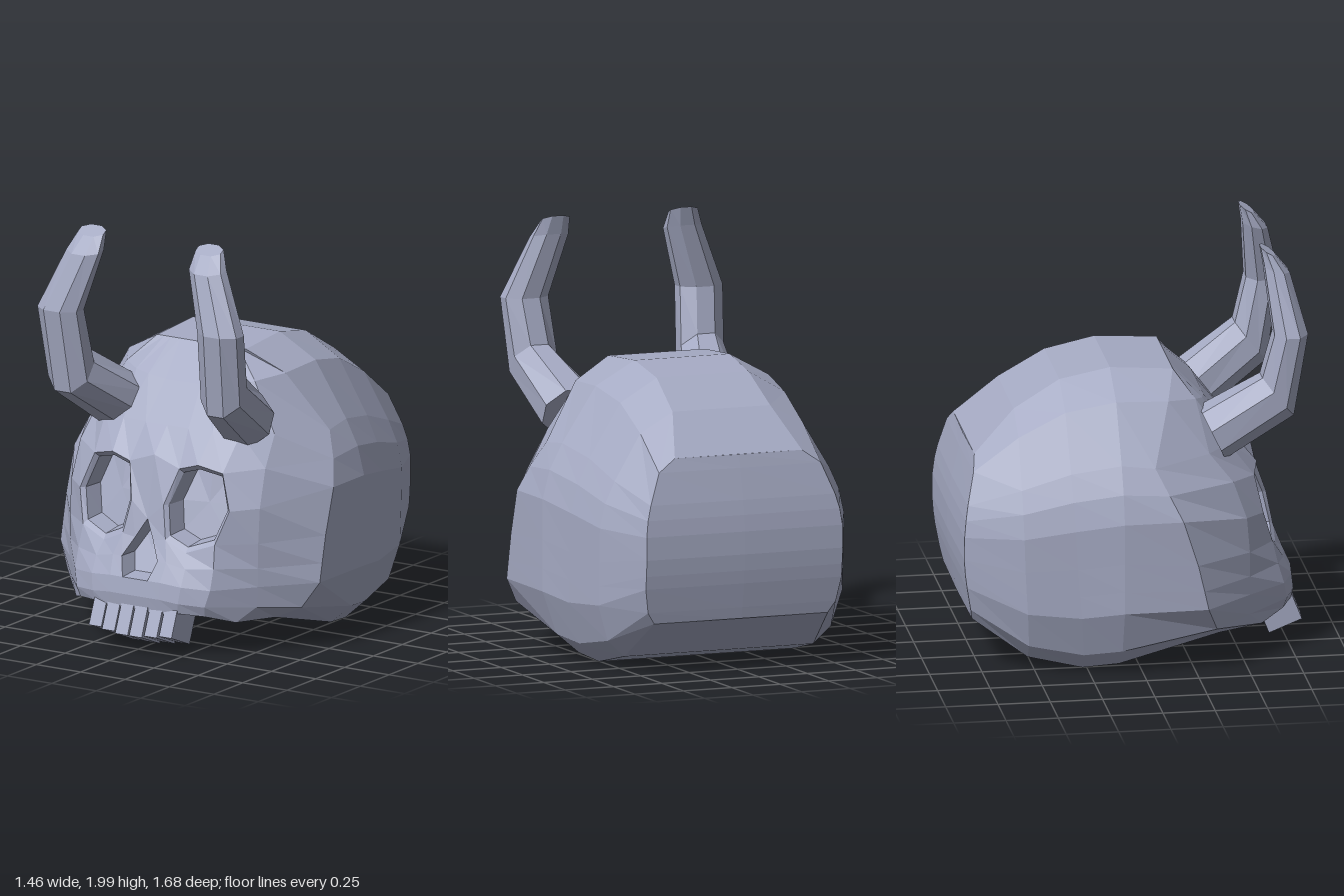
import * as THREE from 'three';

const bone = new THREE.MeshStandardMaterial({ color: 0xa5aac3, side: THREE.DoubleSide });
bone.name = 'greyBone';

// Collects faces as separate triangles, so every facet stays flat
class Facets {
  constructor() { this.p = []; }
  quad(a, b, c, d) { this.p.push(...a, ...b, ...c, ...a, ...c, ...d); }
  // Same quad on both halves of the body
  pair(a, b, c, d) {
    this.quad(a, b, c, d);
    this.quad(flip(d), flip(c), flip(b), flip(a));
  }
  // Joins a list of closed rings, then closes the last one with a fan
  rings(list) {
    for (let i = 0; i + 1 < list.length; i++) this.band(list[i], list[i + 1]);
    this.cap(list[list.length - 1]);
  }
  band(r, s) {
    const n = r.length;
    for (let j = 0; j < n; j++) this.quad(r[j], r[(j + 1) % n], s[(j + 1) % n], s[j]);
  }
  cap(r) {
    const m = centre(r), n = r.length;
    for (let j = 0; j < n; j++) this.p.push(...r[j], ...r[(j + 1) % n], ...m);
  }
  mesh(name) {
    const g = new THREE.BufferGeometry();
    g.setAttribute('position', new THREE.Float32BufferAttribute(this.p, 3));
    g.computeVertexNormals();
    const m = new THREE.Mesh(g, bone);
    m.name = name;
    return m;
  }
}

const flip = ([x, y, z]) => [-x, y, z];
const centre = (r) => [0, 1, 2].map((k) => r.reduce((s, v) => s + v[k], 0) / r.length);

// Ring shrunk towards its centre and pushed back
function inset(ring, scale, depth) {
  const m = centre(ring);
  return ring.map(([x, y, z]) => [m[0] + (x - m[0]) * scale, m[1] + (y - m[1]) * scale, z - depth]);
}

// Seam between face and cranium, from the crown down to the jaw opening
const seam = [
  [0, 1.38, 0.2], [0.25, 1.38, 0.2], [0.44, 1.28, 0.15], [0.63, 1.01, 0.06],
  [0.69, 0.89, 0.12], [0.73, 0.77, 0.18], [0.73, 0.55, 0.25], [0.73, 0.42, 0.28],
  [0.73, 0.33, 0.3], [0.66, 0.21, 0.35], [0.53, 0.15, 0.38],
];

function cranium() {
  const nx = [0, 0.34, 0.62, 0.86, 0.95, 1, 1, 1, 1, 0.9, 0.74];
  const ny = [1, 1, 0.92, 0.73, 0.64, 0.54, 0.4, 0.3, 0.22, 0.07, 0];
  // half width, top, bottom, z at top, z at bottom, bulge back, roundness
  const sections = [
    [0.72, 1.4, 0.02, -0.1, -0.1, 0, 1],
    [0.675, 1.35, 0, -0.34, -0.27, 0.02, 0.97],
    [0.63, 1.22, 0.06, -0.56, -0.53, 0.02, 0.85],
    [0.505, 1.03, 0.25, -0.76, -0.79, 0.06, 0.4],
  ].map(([w, top, bot, zt, zb, bulge, p]) => {
    const pts = nx.map((x, k) => [
      w * x ** p, bot + (top - bot) * ny[k],
      zb + (zt - zb) * ny[k] - bulge * Math.sin(Math.PI * ny[k]),
    ]);
    return [...pts, [0, pts[10][1], pts[10][2]]];
  });
  const last = sections[sections.length - 1];
  const rows = [seam, ...sections, last.map(([, y, z]) => [0, y, z - 0.005])];
  const f = new Facets();
  for (let i = 0; i + 1 < rows.length; i++) {
    const a = rows[i], b = rows[i + 1];
    for (let k = 0; k + 1 < a.length; k++) f.pair(a[k], a[k + 1], b[k + 1], b[k]);
  }
  return f.mesh('cranium');
}

// Half face: each row holds depth, curvature, then x, y of five columns
const face = [
  [0.2, 0, 0, 1.38, 0.06, 1.38, 0.12, 1.38, 0.17, 1.38, 0.21, 1.38],
  [0.36, 4, 0, 1.22, 0.1, 1.22, 0.2, 1.23, 0.28, 1.24, 0.36, 1.26],
  [0.5, 2.6, 0, 1.04, 0.12, 1.04, 0.25, 1.04, 0.38, 1.04, 0.5, 1.03],
  [0.61, 2.2, 0, 0.92, 0.14, 0.87, 0.24, 0.9, 0.36, 0.87, 0.52, 0.89],
  [0.67, 2, 0, 0.62, 0.09, 0.7, 0.25, 0.7, 0.42, 0.7, 0.53, 0.71],
  [0.7, 2.2, 0.05, 0.53, 0.12, 0.54, 0.23, 0.49, 0.37, 0.54, 0.53, 0.54],
  [0.74, 2.7, 0.1, 0.44, 0.15, 0.44, 0.25, 0.42, 0.38, 0.43, 0.53, 0.42],
  [0.78, 3.2, 0.07, 0.35, 0.14, 0.35, 0.25, 0.34, 0.38, 0.33, 0.53, 0.33],
  [0.79, 3.6, 0.07, 0.27, 0.14, 0.27, 0.24, 0.26, 0.36, 0.25, 0.52, 0.23],
  [0.78, 4.5, 0.07, 0.2, 0.15, 0.2, 0.23, 0.21, 0.35, 0.2, 0.45, 0.16],
].map(([zc, bend, ...xy], r) => {
  const row = [];
  for (let i = 0; i < 10; i += 2) row.push([xy[i], xy[i + 1], zc - bend * xy[i] ** 4]);
  return [...row, seam[r + 1]];
});

function faceShell() {
  const f = new Facets();
  for (let r = 0; r < 9; r++) {
    for (let c = 0; c < 5; c++) {
      const eyeHole = (r === 3 || r === 4) && (c === 1 || c === 2);
      if (!eyeHole) f.pair(face[r][c], face[r + 1][c], face[r + 1][c + 1], face[r][c + 1]);
    }
    // upper jaw below the nose
    if (r >= 7) f.quad(flip(face[r][0]), flip(face[r + 1][0]), face[r + 1][0], face[r][0]);
  }
  return f.mesh('face');
}

function eyeSocket(side) {
  const ring = [[3, 1], [3, 2], [3, 3], [4, 3], [5, 3], [5, 2], [5, 1], [4, 1]]
    .map(([r, c]) => face[r][c]).map(([x, y, z]) => [x * side, y, z]);
  if (side > 0) ring.reverse();
  const f = new Facets();
  f.rings([ring, inset(ring, 0.88, 0.02), inset(ring, 0.82, 0.13)]);
  return f.mesh(side > 0 ? 'leftEyeSocket' : 'rightEyeSocket');
}

function noseHole() {
  const half = [4, 5, 6, 7].map((r) => face[r][0]);
  const ring = [half[0], ...half.slice(1).map(flip), ...half.slice(1).reverse()];
  const f = new Facets();
  f.rings([ring, inset(ring, 0.9, 0.1)]);
  return f.mesh('noseHole');
}

function horn(side) {
  // centre x, y, z, half width, and the half thickness vector in y, z
  const rings = [
    [0.355, 1.09, 0.37, 0.15, -0.115, 0.055],
    [0.43, 1.29, 0.67, 0.11, -0.095, 0.075],
    [0.45, 1.6, 0.73, 0.11, 0, 0.08],
    [0.345, 1.89, 0.68, 0.09, -0.015, 0.06],
    [0.33, 1.975, 0.64, 0.07, -0.02, 0.035],
  ].map(([x, y, z, w, vy, vz]) => Array.from({ length: 8 }, (_, j) => {
    const t = -side * (j + 0.5) * Math.PI / 4;
    const s = Math.sin(t) * 1.08;
    return [side * (x + w * 1.08 * Math.cos(t)), y + vy * s, z + vz * s];
  }));
  const f = new Facets();
  f.rings(rings.map((r) => [...r].reverse()));
  f.cap(rings[0]);
  return f.mesh(side > 0 ? 'leftHorn' : 'rightHorn');
}

function teeth() {
  const g = new THREE.Group();
  g.name = 'teeth';
  const geo = new THREE.BoxGeometry(0.07, 0.155, 0.17);
  for (let i = 0; i < 6; i++) {
    const x = (i - 2.5) * 0.079, back = Math.abs(x) * 0.1;
    const t = new THREE.Mesh(geo, bone);
    t.name = 'tooth';
    t.position.set(x, 0.122 + back, 0.733 - back);
    t.rotation.x = -0.38;
    g.add(t);
  }
  return g;
}

export function createModel() {
  const skull = new THREE.Group();
  skull.name = 'hornedSkull';
  skull.add(cranium(), faceShell(), noseHole(), teeth());
  for (const side of [1, -1]) skull.add(eyeSocket(side), horn(side));
  return skull;
}
